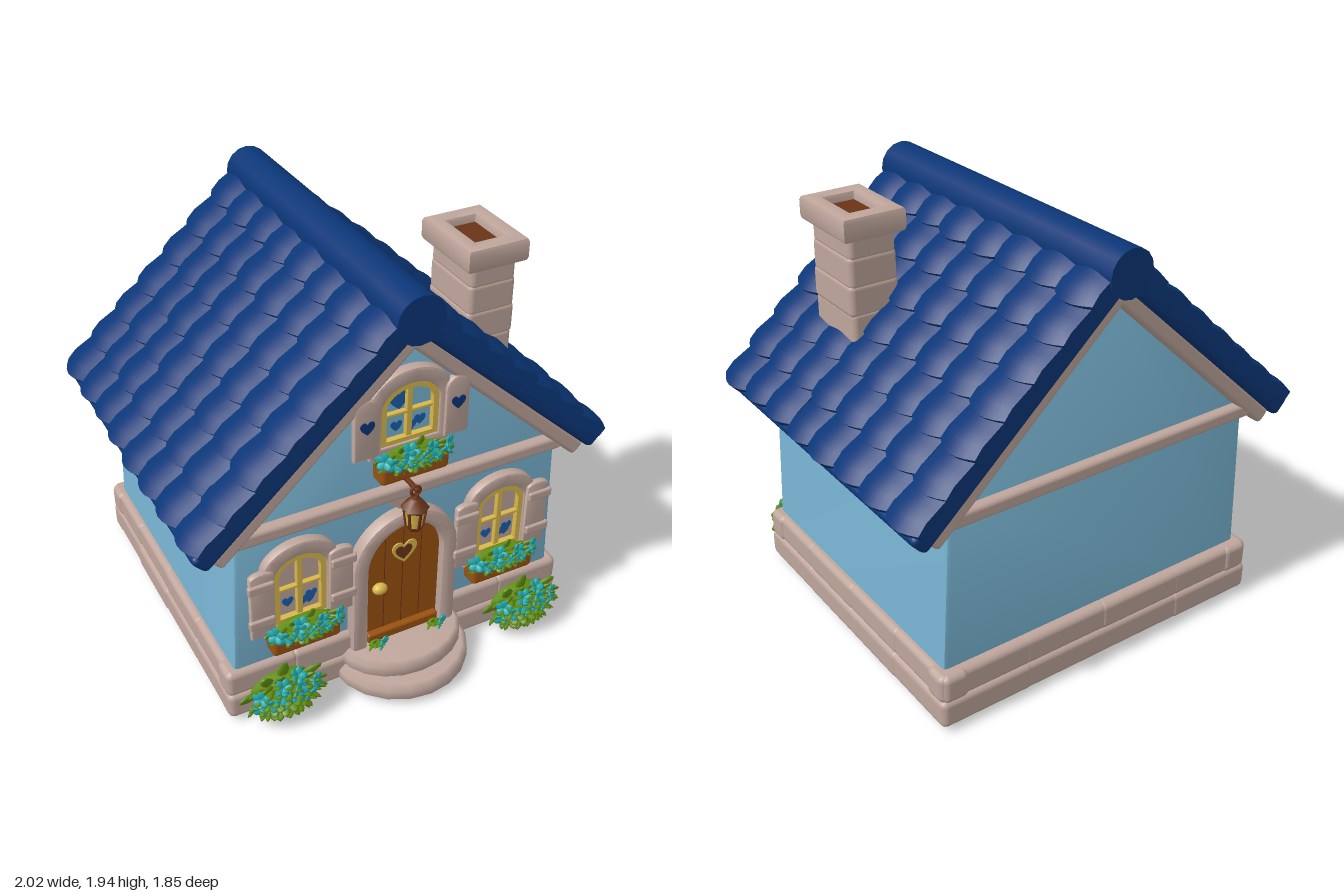
import * as THREE from 'three';
import { mergeGeometries, toCreasedNormals } from 'three/addons/utils/BufferGeometryUtils.js';
import { RoundedBoxGeometry } from 'three/addons/geometries/RoundedBoxGeometry.js';

const mat = (name, color) => {
  const m = new THREE.MeshStandardMaterial({ color });
  m.name = name;
  return m;
};

export function createModel() {
  const roofBlue = mat('roofBlue', 0x0b3677), stone = mat('stone', 0xbfa69c);
  const wallBlue = mat('wallBlue', 0x7ab6d4), wood = mat('wood', 0x9a5210);
  const brown = mat('darkBrown', 0x6a3418), yellow = mat('yellow', 0xdab84c);
  const leafGreen = mat('leafGreen', 0x628f12), petal = mat('petalTurquoise', 0x22adae);
  const deepBlue = mat('paneBlue', 0x1c5fa8), floorBlue = mat('floorBlue', 0x1a8ac8);

  const house = new THREE.Group();
  house.name = 'cottage';
  let seed = 7;
  const rnd = (a) => { seed = (seed * 16807) % 2147483647; return (seed / 2147483647 * 2 - 1) * a; };
  const merge = (list) => mergeGeometries(list.map((g) => (g.index ? g.toNonIndexed() : g)));
  const add = (name, geo, material, parent = house) => {
    const m = new THREE.Mesh(geo, material);
    m.name = name;
    parent.add(m);
  };
  const block = (w, h, d, x, y, z, r = 0.02) =>
    new RoundedBoxGeometry(w, h, d, 2, Math.min(r, w / 2.1, h / 2.1, d / 2.1)).translate(x, y, z);
  const beam = (x1, y1, x2, y2, h, d, z) =>
    block(Math.hypot(x2 - x1, y2 - y1), h, d, 0, 0, 0, 0.02)
      .rotateZ(Math.atan2(y2 - y1, x2 - x1)).translate((x1 + x2) / 2, (y1 + y2) / 2, z);

  // Flat outlines: arch (half width, bottom, top, height of curve), rectangle, heart
  const arch = (w, y0, y1, c, x = 0, Kind = THREE.Shape) => {
    const s = new Kind();
    s.moveTo(x - w, y0);
    s.lineTo(x + w, y0);
    s.lineTo(x + w, y1 - c);
    s.absellipse(x, y1 - c, w, c, 0, Math.PI, false);
    s.closePath();
    return s;
  };
  const rect = (w, h, Kind = THREE.Shape) =>
    new Kind([[-w, -h], [w, -h], [w, h], [-w, h]].map((p) => new THREE.Vector2(...p)));
  const heart = (x, y, r) => {
    const s = new THREE.Shape();
    s.moveTo(x, y - r);
    s.bezierCurveTo(x + r * 0.6, y - r * 0.5, x + r * 1.3, y + r * 0.1, x + r * 0.9, y + r * 0.7);
    s.bezierCurveTo(x + r * 0.6, y + r, x + r * 0.2, y + r * 0.9, x, y + r * 0.5);
    s.bezierCurveTo(x - r * 0.2, y + r * 0.9, x - r * 0.6, y + r, x - r * 0.9, y + r * 0.7);
    s.bezierCurveTo(x - r * 1.3, y + r * 0.1, x - r * 0.6, y - r * 0.5, x, y - r);
    return s;
  };
  const plate = (shape, depth, z, bevel = 0) => toCreasedNormals(new THREE.ExtrudeGeometry(shape, {
    depth: depth - 2 * bevel, bevelEnabled: bevel > 0, bevelSize: bevel, bevelOffset: -bevel,
    bevelThickness: bevel, bevelSegments: 2, curveSegments: 12,
  }).translate(0, 0, z + bevel), 0.7);
  const ring = (outer, inner) => { outer.holes.push(inner); return outer; };

  // Walls, slightly wider at the foot, and the floor
  const wall = new THREE.Shape([[-0.815, 0.05], [0.815, 0.05], [0.77, 1.05], [0, 1.76], [-0.77, 1.05]]
    .map((p) => new THREE.Vector2(...p)));
  add('walls', plate(wall, 1.44, -0.82, 0.02), wallBlue);
  add('floor', new THREE.BoxGeometry(1.66, 0.03, 1.46).translate(0, 0.038, -0.125), floorBlue);

  // Stone foundation: two courses round the house, open at the door
  const stones = [];
  for (let row = 0; row < 2; row++) {
    const y = 0.092 + row * 0.12, h = 0.135, out = row ? -0.01 : 0;
    for (const s of [-1, 1]) {
      for (let i = 0; i < 4; i++) {
        stones.push(block(0.13 + rnd(0.006), h, 0.41, s * (0.785 + out), y, -0.673 + i * 0.372, 0.03));
      }
      for (let i = 0; i < 2; i++) {
        stones.push(block(0.34, h, 0.12 + rnd(0.006), s * (0.37 + i * 0.31), y, 0.597 + out, 0.03));
      }
    }
    for (let i = 0; i < 4; i++) {
      stones.push(block(0.46, h, 0.12 + rnd(0.006), -0.62 + i * 0.413, y, -0.818 - out, 0.03));
    }
  }
  add('foundation', merge(stones), stone);

  // Round doorstep with two treads
  const tread = (r, y0, y1, rz) => new THREE.LatheGeometry(
    [[0, y0], [r - 0.02, y0], [r, y0 + 0.02], [r, y1 - 0.025], [r - 0.025, y1], [0, y1]]
      .map((p) => new THREE.Vector2(...p)), 20).scale(1, 1, rz / r).translate(0, 0, 0.62);
  add('doorstep', merge([tread(0.325, 0.02, 0.11, 0.31), tread(0.3, 0.1, 0.19, 0.235)]), stone);

  // Roof: each side is a slab with seven rows of arched, overlapping tiles
  const pitch = 0.74, rowStep = 0.176, tileW = 0.2;
  for (const side of [0, 1]) {
    const turn = new THREE.Group();
    turn.name = side ? 'rightHandRoof' : 'leftHandRoof';
    turn.rotation.y = side * Math.PI;
    turn.position.set(0, 1.78, -0.1);
    const slope = new THREE.Group();
    slope.name = 'roofSlope';
    slope.rotation.z = -pitch;
    turn.add(slope);
    house.add(turn);
    add('roofSlab', block(1.26, 0.1, 1.6, 0.622, 0.04, 0, 0.025), roofBlue, slope);
    const tiles = [];
    for (let r = 0; r < 7; r++) for (let c = 0; c < 8; c++) {
      const g = new THREE.BoxGeometry(0.24, 0.06, tileW, 4, 1, 6);
      const p = g.attributes.position;
      const dx = rnd(0.008), dy = rnd(0.004);
      for (let i = 0; i < p.count; i++) {
        const u = p.getX(i) / 0.24 + 0.5, bow = Math.cos(Math.PI * p.getZ(i) / tileW);
        const rim = u > 0.95 && p.getY(i) > 0 ? 0.016 : 0;
        p.setX(i, p.getX(i) + u * (0.035 * bow - 0.015));
        p.setY(i, p.getY(i) + 0.02 * bow + 0.04 * u - rim);
        p.setZ(i, p.getZ(i) * (1 + 0.16 * u));
      }
      g.computeVertexNormals();
      tiles.push(g.translate((r + 1) * rowStep - 0.125 + dx, 0.052 + dy, (c - 3.5) * tileW));
    }
    add('roofTiles', merge(tiles), roofBlue, slope);
    add('eaveBoard', block(0.13, 0.05, 1.52, 1.12, -0.03, 0), stone, slope);
  }
  add('ridge', toCreasedNormals(new THREE.CylinderGeometry(0.108, 0.104, 1.63, 16, 6)
    .rotateX(Math.PI / 2).translate(0, 1.834, -0.1), 0.8), roofBlue);

  // Gable boards and cross beams, front and back
  for (const [name, z] of [['frontGableTrim', 0.64], ['backGableTrim', -0.835]]) {
    const parts = [beam(-0.78, 0.995, 0.78, 0.995, 0.07, 0.06, z)];
    for (const s of [-1, 1]) parts.push(beam(0, 1.735, s * 0.87, 0.93, 0.075, 0.075, z));
    add(name, merge(parts), stone);
  }

  // Chimney: jittered courses, hollow cap and dark flue
  const courses = [];
  for (let i = 0; i < 5; i++) {
    courses.push(block(0.225 + rnd(0.01), 0.15, 0.325 + rnd(0.01), 0.535, 1.27 + i * 0.125, 0.235, 0.025));
  }
  const cap = plate(ring(rect(0.145, 0.19), rect(0.07, 0.11, THREE.Path)), 0.11, 0, 0.02);
  courses.push(cap.rotateX(-Math.PI / 2).translate(0.535, 1.79, 0.235));
  add('chimney', merge(courses), stone);
  add('flue', new THREE.BoxGeometry(0.15, 0.02, 0.23).translate(0.535, 1.85, 0.235), brown);

  // Leafy clump with flowers, bulging towards +z
  const up = new THREE.Vector3(0, 1, 0), ahead = new THREE.Vector3(0, 0, 1);
  const ball = (x, y, z) => new THREE.SphereGeometry(1, 6, 5).scale(x, y, z);
  const clump = (name, x, y, z, rx, ry, rz, leaves, flowers, len) => {
    const green = [], blooms = [];
    const place = (i, n, spread, geo, axis, reach, lift) => {
      const k = Math.sqrt((i + 0.5) / n) * spread, a = i * 2.4;
      const d = new THREE.Vector3(Math.cos(a) * k, Math.sin(a) * k, Math.sqrt(1 - k * k));
      const q = new THREE.Quaternion().setFromUnitVectors(axis, d);
      return geo.applyQuaternion(q)
        .translate(x + d.x * rx * reach, y + d.y * ry * reach + lift, z + d.z * rz * reach);
    };
    for (let i = 0; i < leaves; i++) {
      const leaf = ball(len * 0.24, len * 0.55, len * 0.1);
      green.push(place(i, leaves, 0.99, leaf, up, 0.8, 0));
    }
    for (let i = 0; i < flowers; i++) {
      const petals = [];
      for (let j = 0; j < 5; j++) {
        petals.push(ball(0.023, 0.017, 0.007).rotateY(-0.35).translate(0.021, 0, 0).rotateZ(j * 1.257 + i));
      }
      blooms.push(place(i, flowers, 0.78, merge(petals), ahead, 1.08, ry * 0.2));
    }
    green.push(ball(rx * 0.75, ry * 0.75, rz * 0.7).translate(x, y, z));
    add(name + 'Leaves', merge(green), leafGreen);
    add(name + 'Flowers', merge(blooms), petal);
  };
  clump('leftBush', 0.62, 0.145, 0.665, 0.2, 0.11, 0.11, 54, 13, 0.12);
  clump('rightBush', -0.61, 0.145, 0.665, 0.2, 0.11, 0.11, 54, 13, 0.12);

  // Window: hood, panes, yellow bars, shutters and flower box
  const windowAt = (name, x, y, w, h, upper) => {
    const mid = y + h * 0.5, c = w * 0.75, lean = upper ? 0.077 : 0.062;
    add(name + 'Pane', plate(arch(w, y, y + h, c, x), 0.008, 0.62), upper ? wallBlue : stone);
    const spots = [[-0.05, 0.25], [0.02, 0.2], [0.06, 0.26], [upper ? -0.04 : 0.05, upper ? 0.7 : 0.2]]
      .map(([sx, sy], i) => plate(heart(x + sx, y + h * sy, i === 3 && upper ? 0.045 : 0.026), 0.004, 0.628));
    add(name + 'PaneSpots', merge(spots), deepBlue);
    add(name + 'Bars', merge([
      plate(ring(arch(w, y, y + h, c, x), arch(w - 0.024, y + 0.02, y + h - 0.024, c - 0.02, x, THREE.Path)), 0.035, 0.62),
      block(0.028, h - 0.02, 0.025, x, mid, 0.637, 0.005), block(w * 2 - 0.02, 0.016, 0.025, x, mid, 0.637, 0.005),
    ]), yellow);
    add(name + 'Hood', plate(ring(arch(w + 0.055, y - 0.05, y + h + 0.07, c + 0.04, x),
      arch(w, y, y + h, c, x, THREE.Path)), 0.055, 0.61, 0.012), stone);
    const boards = [];
    for (const s of [-1, 1]) {
      const sx = x + s * (w + lean);
      boards.push(plate(arch(0.056, y - 0.02, y + h * 0.95, upper ? 0.06 : 0.025, sx), 0.035, 0.645, 0.01));
      if (upper) add(name + 'ShutterHeart', plate(heart(sx, y + h * 0.5, 0.032), 0.006, 0.678), roofBlue);
      else for (const f of [0.2, 0.75]) boards.push(block(0.12, 0.045, 0.025, sx + s * 0.008, y + h * f, 0.68, 0.01));
    }
    add(name + 'Shutters', merge(boards), stone);
    const by = y - (upper ? 0.105 : 0.075);
    add(name + 'FlowerBox', block(0.32, 0.09, 0.09, x, by, 0.675, 0.02), wood);
    clump(name + 'Box', x, by + 0.06, 0.675, 0.21, 0.055, 0.065, 34, 11, 0.085);
  };
  windowAt('leftWindow', 0.485, 0.49, 0.12, 0.345, false);
  windowAt('rightWindow', -0.5, 0.49, 0.12, 0.345, false);
  windowAt('gableWindow', 0, 1.25, 0.132, 0.275, true);

  // Door with frame, plank lines, heart and knob
  add('door', merge([plate(arch(0.19, 0.18, 0.82, 0.2), 0.025, 0.615),
    block(0.36, 0.05, 0.04, 0, 0.215, 0.65, 0.012)]), wood);
  add('doorFrame', plate(ring(arch(0.26, 0.05, 0.89, 0.27), arch(0.183, 0.14, 0.815, 0.2, 0, THREE.Path)),
    0.09, 0.59, 0.02), stone);
  add('plankLines', merge([-0.09, 0, 0.09].map((x) =>
    new THREE.BoxGeometry(0.004, 0.54, 0.002).translate(x, 0.5, 0.64))), brown);
  add('doorHeartTrim', plate(heart(0.005, 0.65, 0.06), 0.006, 0.64), yellow);
  add('doorHeart', plate(heart(0, 0.65, 0.04), 0.004, 0.645), brown);
  add('doorKnob', new THREE.SphereGeometry(0.03, 12, 8).scale(1.2, 0.9, 0.9).translate(-0.125, 0.5, 0.665), yellow);
  for (const s of [-1, 1]) clump(s < 0 ? 'rightSprig' : 'leftSprig', s * 0.15, 0.2, 0.68, 0.045, 0.02, 0.025, 8, 1, 0.05);

  // Lantern on a bracket above the door
  const bracket = new THREE.Shape([[-0.12, 0.97], [0, 0.87], [0.12, 0.97]].map((p) => new THREE.Vector2(...p)));
  add('lanternBracket', plate(bracket, 0.03, 0.61), stone);
  const cyl = (rt, rb, h, y, n = 6) => new THREE.CylinderGeometry(rt, rb, h, n).translate(0, y, 0.722);
  add('lanternGlass', cyl(0.048, 0.034, 0.1, 0.9), yellow);
  const iron = [cyl(0.02, 0.062, 0.045, 0.975), cyl(0.06, 0.056, 0.012, 0.948), cyl(0.04, 0.03, 0.02, 0.846),
    cyl(0.012, 0.02, 0.02, 1.005), block(0.02, 0.02, 0.12, 0, 1.045, 0.68, 0.005),
    new THREE.TorusGeometry(0.022, 0.007, 6, 14).translate(0, 1.035, 0.722)];
  for (let i = 0; i < 6; i++) {
    iron.push(new THREE.BoxGeometry(0.01, 0.105, 0.01).rotateX(0.13).translate(0, 0.9, 0.042)
      .rotateY(i * Math.PI / 3).translate(0, 0, 0.722));
  }
  add('lanternFrame', merge(iron), brown);
  return house;
}
